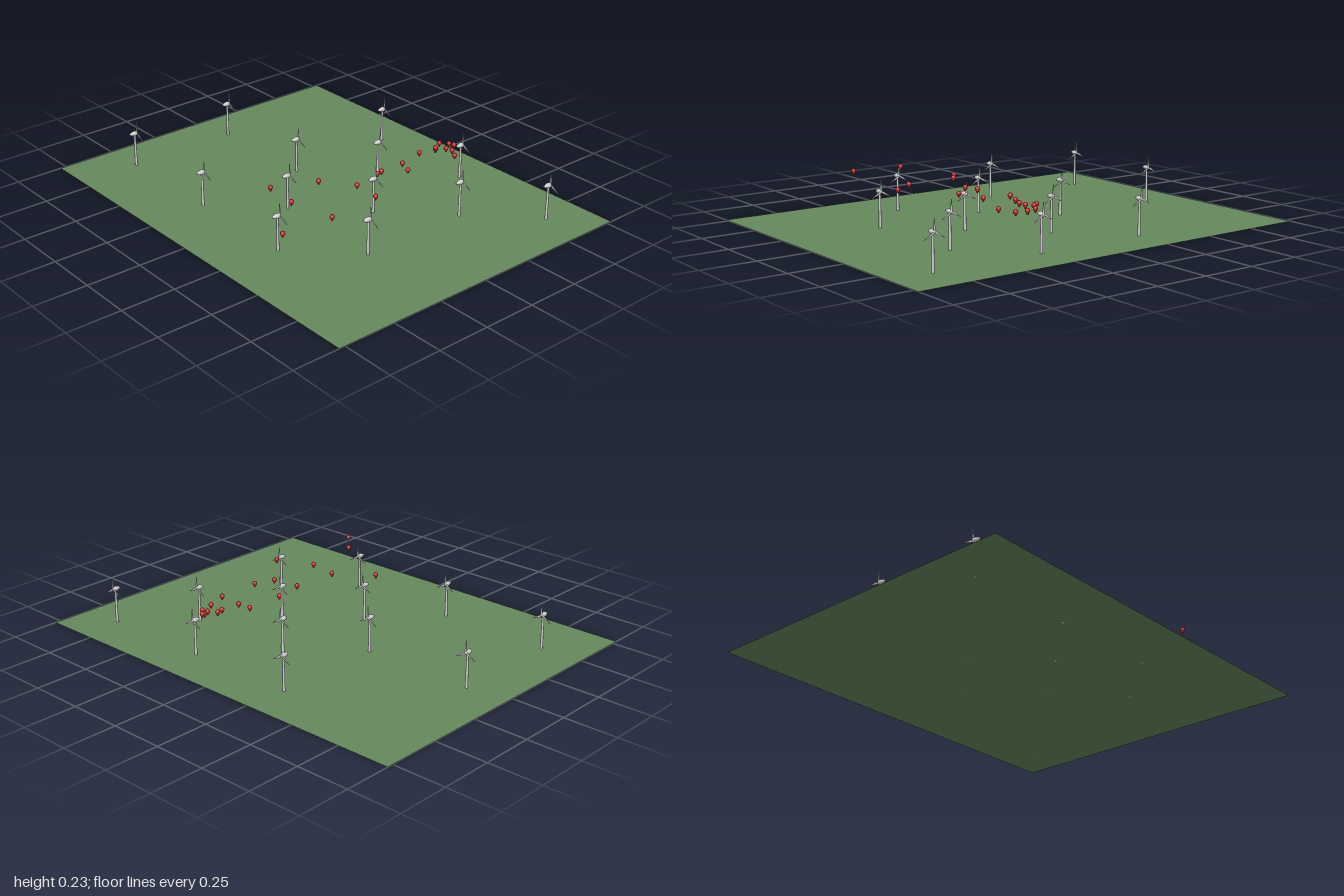
import * as THREE from 'three';

const grey = new THREE.MeshStandardMaterial({ color: 0xcccccc });
const bladeGrey = new THREE.MeshStandardMaterial({ color: 0xcccccc, side: THREE.DoubleSide });
const red = new THREE.MeshStandardMaterial({ color: 0xc02828 });
const green = new THREE.MeshStandardMaterial({ color: 0x66885c, side: THREE.DoubleSide });

const HUB_Y = 0.163;

function mesh(name, geometry, material) {
  const m = new THREE.Mesh(geometry, material);
  m.name = name;
  return m;
}

function lathe(points, segments) {
  return new THREE.LatheGeometry(points.map(([r, y]) => new THREE.Vector2(r, y)), segments);
}

// Slim blade, widest near the root and tapering to a point
function makeBladeGeometry() {
  const s = new THREE.Shape();
  s.moveTo(-0.003, 0);
  s.lineTo(-0.006, 0.012);
  s.lineTo(-0.001, 0.054);
  s.lineTo(0.001, 0.054);
  s.lineTo(0.004, 0.012);
  s.lineTo(0.003, 0);
  const g = new THREE.ExtrudeGeometry(s, { depth: 0.002, bevelEnabled: false });
  g.translate(0, 0, -0.001);
  return g.rotateY(Math.PI / 2);
}

const towerGeo = new THREE.CylinderGeometry(0.005, 0.0065, HUB_Y, 12).translate(0, HUB_Y / 2, 0);
// Egg-shaped housing: pointed tail towards -x, blunt nose towards +x
const housingGeo = lathe([
  [0, -0.028], [0.004, -0.025], [0.008, -0.017], [0.011, -0.007],
  [0.012, 0.002], [0.010, 0.009], [0.006, 0.014], [0, 0.016],
], 14).rotateZ(-Math.PI / 2);
const bladeGeo = makeBladeGeometry();

function makeTurbine(x, z) {
  const g = new THREE.Group();
  g.name = 'windTurbine';
  g.position.set(x, 0, z);
  const housing = mesh('housing', housingGeo, grey);
  housing.position.y = HUB_Y;
  const rotor = new THREE.Group();
  rotor.name = 'rotor';
  rotor.position.set(0.0125, HUB_Y, 0);
  for (let i = 0; i < 3; i++) {
    const blade = mesh('blade', bladeGeo, bladeGrey);
    blade.rotation.x = (i * Math.PI * 2) / 3;
    rotor.add(blade);
  }
  g.add(mesh('tower', towerGeo, grey), housing, rotor);
  return g;
}

// Balloon: round crown narrowing to a small mouth
const balloonGeo = lathe([
  [0, -0.0145], [0.003, -0.0145], [0.004, -0.011], [0.008, -0.005], [0.0108, 0.001],
  [0.011, 0.005], [0.009, 0.010], [0.005, 0.0135], [0, 0.0145],
], 14);

export function createModel() {
  const model = new THREE.Group();
  model.name = 'windFarm';

  // Field
  model.add(mesh('ground', new THREE.PlaneGeometry(1.556, 2).rotateX(-Math.PI / 2), green));

  // Turbines on staggered rows: [z, x positions]
  const rows = [
    [-0.8, [-0.488, 0.046]],
    [-0.267, [-0.488, 0.046, 0.58]],
    [0, [-0.221, 0.313]],
    [0.267, [-0.488, 0.046, 0.58]],
    [0.533, [-0.221, 0.313]],
    [0.8, [0.58]],
  ];
  for (const [z, xs] of rows) for (const x of xs) model.add(makeTurbine(x, z));

  // Balloons drifting across the field
  const balloons = [
    [-0.595, 0.185, 0.437], [-0.43, 0.214, 0.287], [-0.35, 0.161, 0.045], [-0.295, 0.139, 0.39],
    [-0.182, 0.185, 0.167], [-0.11, 0.199, 0.453], [-0.03, 0.146, 0.245], [0.075, 0.195, 0.285],
    [0.113, 0.146, 0.217], [0.185, 0.205, 0.3], [0.267, 0.127, 0.25], [0.355, 0.178, 0.228],
    [0.397, 0.21, 0.287], [0.442, 0.173, 0.243], [0.462, 0.189, 0.29], [0.483, 0.16, 0.325],
    [0.488, 0.182, 0.22], [0.508, 0.163, 0.283], [0.515, 0.184, 0.255], [0.537, 0.175, 0.265],
  ];
  for (const p of balloons) {
    const b = mesh('balloon', balloonGeo, red);
    b.position.set(...p);
    model.add(b);
  }
  return model;
}
